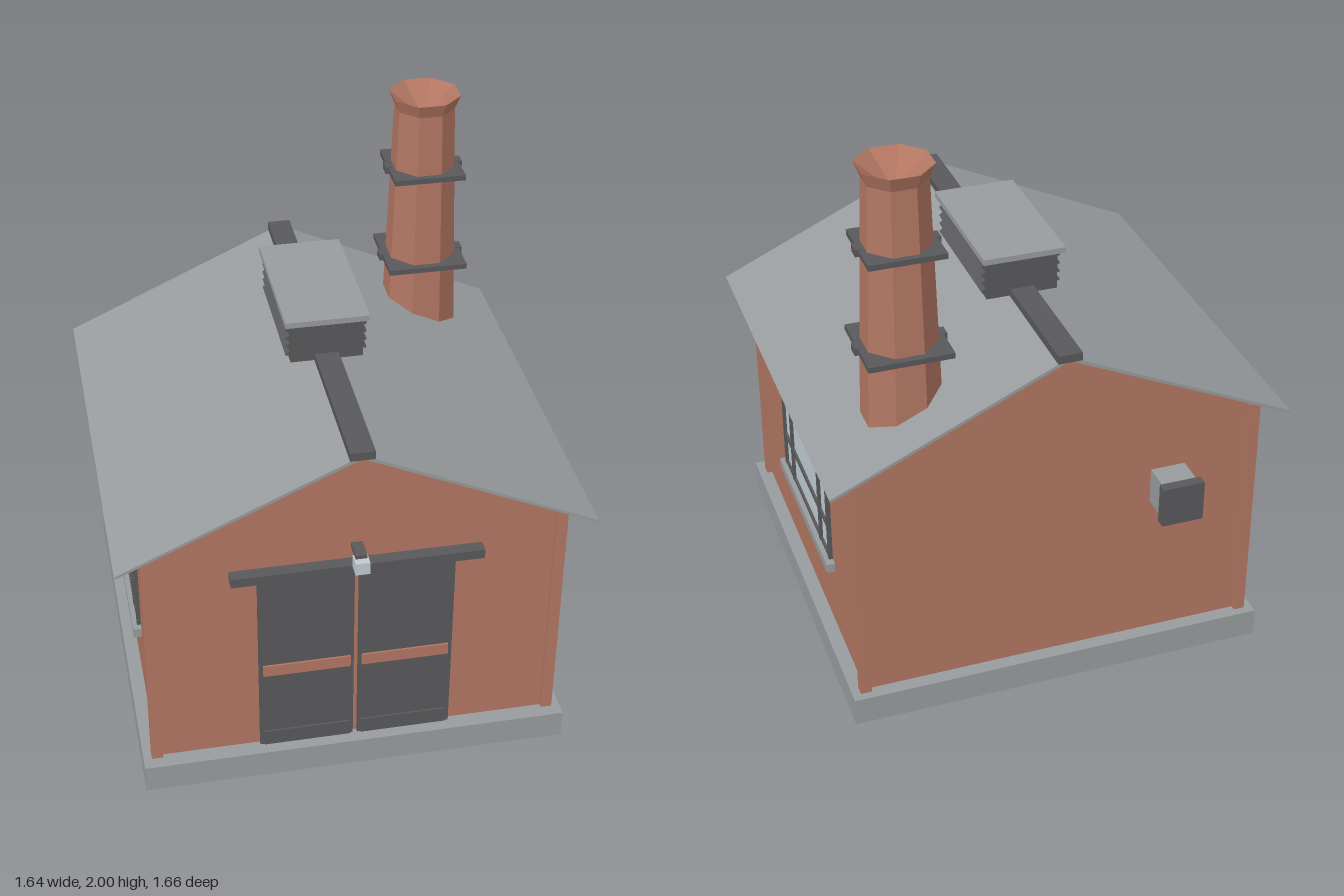
import * as THREE from 'three';

const mat = (name, color) => {
  const m = new THREE.MeshStandardMaterial({ color });
  m.name = name;
  return m;
};

export function createModel() {
  const brick = mat('brick', 0xb27662);
  const stone = mat('grey stone and sheet', 0x989c9e);
  const iron = mat('dark iron', 0x59595b);
  const glass = mat('pale glass', 0xc0ccd2);

  const model = new THREE.Group();
  model.name = 'workshop';

  const add = (name, geometry, material, parent = model) => {
    const mesh = new THREE.Mesh(geometry, material);
    mesh.name = name;
    parent.add(mesh);
    return mesh;
  };
  // Box given by its limits on each axis
  const box = (name, material, [x0, x1], [y0, y1], [z0, z1], parent = model) => {
    const mesh = add(name, new THREE.BoxGeometry(x1 - x0, y1 - y0, z1 - z0), material, parent);
    mesh.position.set((x0 + x1) / 2, (y0 + y1) / 2, (z0 + z1) / 2);
    return mesh;
  };
  // Outline in x and y, drawn out along z
  const prism = (name, material, points, z0, z1) => {
    const shape = new THREE.Shape(points.map(([x, y]) => new THREE.Vector2(x, y)));
    const geometry = new THREE.ExtrudeGeometry(shape, { depth: z1 - z0, bevelEnabled: false });
    geometry.translate(0, 0, z0);
    return add(name, geometry, material);
  };
  const group = (name, parent = model) => {
    const g = new THREE.Group();
    g.name = name;
    parent.add(g);
    return g;
  };

  // Plinth, gabled walls and corner pilasters
  box('plinth', stone, [-0.76, 0.76], [0, 0.105], [-0.74, 0.79]);
  prism('walls', brick, [[-0.71, 0.105], [0.71, 0.105], [0.71, 0.99], [0, 1.325], [-0.71, 0.99]], -0.69, 0.73);
  for (const x of [-0.71, 0.71]) {
    for (const z of [-0.69, 0.725]) {
      box('cornerPilaster', brick, [x - 0.02, x + 0.02], [0.105, 1.0], [z - 0.02, z + 0.02]);
    }
  }

  // Thin sheet roof and ridge cap
  prism('roof', stone, [
    [-0.815, 0.972], [0, 1.344], [0.815, 0.972], [0.818, 0.982], [0, 1.357], [-0.818, 0.982],
  ], -0.76, 0.8);
  box('ridgeCap', iron, [-0.042, 0.042], [1.342, 1.372], [-0.765, 0.805]);

  // Ridge ventilator with slanted louvres on both sides
  const vent = group('ridgeVentilator');
  box('ventBody', iron, [-0.127, 0.127], [1.348, 1.495], [-0.3, 0.2], vent);
  box('ventCap', stone, [-0.147, 0.147], [1.495, 1.516], [-0.328, 0.217], vent);
  for (const side of [-1, 1]) {
    for (let i = 0; i < 4; i++) {
      const louvre = add('louvre', new THREE.BoxGeometry(0.028, 0.008, 0.47), iron, vent);
      louvre.position.set(side * 0.129, 1.377 + i * 0.032, -0.05);
      louvre.rotation.z = -side * 0.6;
    }
  }

  // Eight-sided chimney with a hollow mouth; radii are measured to the flats
  const chimney = group('chimney');
  chimney.position.set(0.488, 0, -0.472);
  const profile = [[0.132, 1.0], [0.102, 1.95], [0.121, 2.0], [0, 1.9]]
    .map(([r, y]) => new THREE.Vector2(r / Math.cos(Math.PI / 8), y));
  const stack = new THREE.LatheGeometry(profile, 8, Math.PI / 8).toNonIndexed();
  stack.computeVertexNormals();
  add('chimneyStack', stack, brick, chimney);
  for (const [y, r] of [[1.351, 0.146], [1.712, 0.131]]) {
    box('chimneyBand', iron, [-r, r], [y - 0.01, y + 0.01], [-r, r], chimney);
    for (const side of [-1, 1]) {
      const lug = add('bandLug', new THREE.BoxGeometry(0.024, 0.026, 0.045), iron, chimney);
      lug.position.set(side * r, y, 0);
    }
  }

  // Pair of sliding doors under a rail
  const doors = group('doors');
  box('doorHead', brick, [-0.335, 0.335], [0.835, 0.856], [0.72, 0.745], doors);
  box('doorRail', iron, [-0.435, 0.435], [0.857, 0.892], [0.73, 0.775], doors);
  for (const side of [-1, 1]) {
    const span = (a, b) => (side > 0 ? [a, b] : [-b, -a]);
    box('doorLeaf', iron, span(0.008, 0.342), [0.105, 0.836], [0.72, 0.745], doors);
    box('doorBand', brick, span(0.02, 0.328), [0.427, 0.472], [0.745, 0.752], doors);
    box('kickPlate', iron, span(0.02, 0.328), [0.108, 0.168], [0.745, 0.752], doors);
  }

  // Lamp above the doors
  const lamp = group('lamp');
  box('lampArm', iron, [-0.02, 0.02], [0.938, 0.956], [0.725, 0.806], lamp);
  box('lampGlass', glass, [-0.025, 0.025], [0.895, 0.942], [0.78, 0.832], lamp);

  // One window on each side wall
  for (const side of [-1, 1]) {
    const win = group(side > 0 ? 'leftWindow' : 'rightWindow');
    const part = (name, material, depth, y, z) =>
      box(name, material, side > 0 ? [0.69, depth] : [-depth, -0.69], y, z, win);
    part('pane', glass, 0.714, [0.39, 0.842], [-0.3, 0.352]);
    for (const z of [-0.292, -0.172, 0.226, 0.342]) {
      part('uprightBar', iron, 0.724, [0.39, 0.842], [z - 0.01, z + 0.01]);
    }
    for (const y of [0.397, 0.526, 0.715]) {
      part('crossBar', iron, 0.722, [y - 0.009, y + 0.009], [-0.3, 0.352]);
    }
    part('sill', stone, 0.74, [0.355, 0.391], [-0.33, 0.376]);
    part('lintel', brick, 0.736, [0.842, 0.896], [-0.34, 0.387]);
    part('keystone', brick, 0.744, [0.842, 0.923], [-0.02, 0.07]);
  }

  // Extractor duct on the back wall
  box('ductNeck', stone, [-0.463, -0.337], [0.665, 0.797], [-0.795, -0.68]);
  box('ductHood', iron, [-0.476, -0.325], [0.655, 0.806], [-0.832, -0.795]);

  return model;
}
